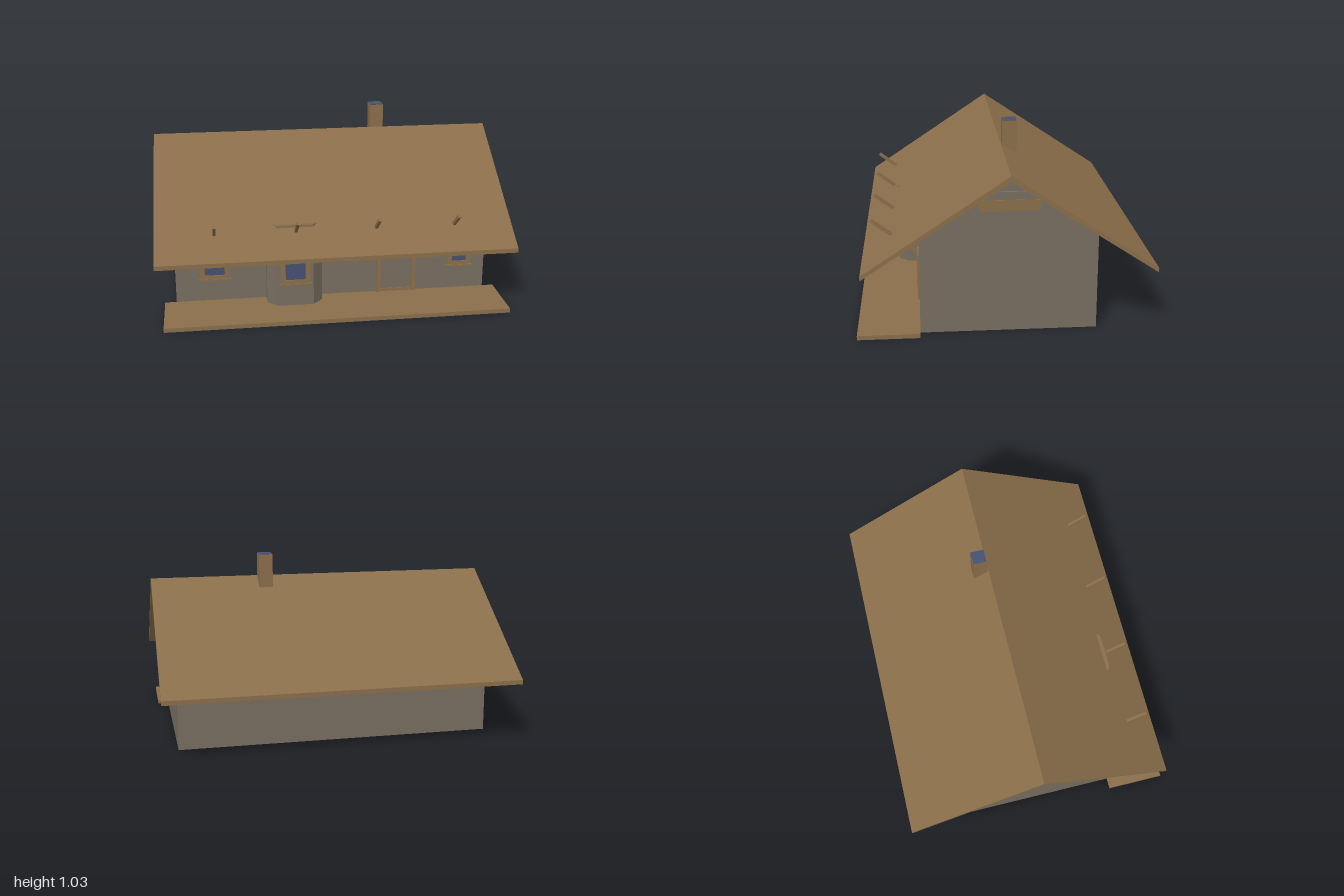
import * as THREE from 'three';

const mat = (name, color) => {
  const m = new THREE.MeshStandardMaterial({ color });
  m.name = name;
  return m;
};

export function createModel() {
  const wood = mat('brown wood', 0x8a6e4a);
  const plaster = mat('grey plaster', 0x776d60);
  const glass = mat('blue glass', 0x475070);
  const house = new THREE.Group();
  house.name = 'house';

  const add = (name, geometry, material, parent = house) => {
    const mesh = new THREE.Mesh(geometry, material);
    mesh.name = name;
    parent.add(mesh);
    return mesh;
  };
  // Box given by its limits on each axis
  const box = (name, [x0, x1], [y0, y1], [z0, z1], material, parent) => {
    const mesh = add(name, new THREE.BoxGeometry(x1 - x0, y1 - y0, z1 - z0), material, parent);
    mesh.position.set((x0 + x1) / 2, (y0 + y1) / 2, (z0 + z1) / 2);
    return mesh;
  };
  const outline = (points) => new THREE.Shape(points.map(([a, b]) => new THREE.Vector2(a, b)));
  // Side profile in (z, y), extruded along x
  const alongX = (shape, x0, x1) =>
    new THREE.ExtrudeGeometry(shape, { depth: x1 - x0, bevelEnabled: false, curveSegments: 6 })
      .rotateY(-Math.PI / 2).translate(x1, 0, 0);
  // Floor plan in (x, z), extruded upwards
  const upwards = (points, y0, y1) =>
    new THREE.ExtrudeGeometry(outline(points.map(([x, z]) => [x, -z])), { depth: y1 - y0, bevelEnabled: false })
      .rotateX(-Math.PI / 2).translate(0, y0, 0);

  // Walls with gables
  add('walls', alongX(outline([
    [-0.49, 0], [0.46, 0], [0.46, 0.55], [-0.015, 0.867], [-0.49, 0.55],
  ]), -0.9, 0.9), plaster);

  // Pitched roof
  add('roof', alongX(outline([
    [0.765, 0.35], [0.765, 0.375], [-0.015, 0.896], [-0.795, 0.375], [-0.795, 0.35], [-0.015, 0.866],
  ]), -1, 1), wood);

  // Porch deck on a thin grey base
  box('porchDeck', [-0.965, 0.965], [0.004, 0.024], [0.46, 0.795], wood);
  box('porchBase', [-0.965, 0.965], [0, 0.004], [0.46, 0.795], plaster);

  // Bay with cut corners; its cap breaks through the roof
  const bay = [[-0.385, 0.45], [-0.385, 0.53], [-0.33, 0.588], [-0.125, 0.588], [-0.07, 0.53], [-0.07, 0.45]];
  add('bayWalls', upwards(bay, 0.02, 0.488), plaster);
  add('bayCap', upwards(bay, 0.488, 0.508), wood);

  // Framed windows
  const addWindow = (name, x0, x1, y0, y1, z) => {
    const group = new THREE.Group();
    group.name = name;
    house.add(group);
    const t = 0.026;
    box('glass', [x0 + t, x1 - t], [y0 + t, y1 - t], [z - 0.002, z + 0.004], glass, group);
    for (const [a, b] of [[x0, x0 + t], [x1 - t, x1]]) {
      box('frameSide', [a, b], [y0, y1], [z - 0.002, z + 0.01], wood, group);
    }
    box('frameTop', [x0 + t, x1 - t], [y1 - t, y1], [z - 0.002, z + 0.01], wood, group);
    box('frameBottom', [x0 + t, x1 - t], [y0, y0 + t], [z - 0.002, z + 0.01], wood, group);
    box('sill', [x0 - 0.01, x1 + 0.01], [y0 - 0.004, y0 + 0.004], [z - 0.002, z + 0.013], wood, group);
  };
  addWindow('leftWindow', -0.76, -0.595, 0.153, 0.41, 0.46);
  addWindow('bayWindow', -0.31, -0.145, 0.155, 0.4, 0.588);
  addWindow('rightWindow', 0.68, 0.817, 0.167, 0.41, 0.46);

  // Door with posts, lintel and threshold
  box('doorPanel', [0.283, 0.465], [0.024, 0.4], [0.458, 0.464], plaster);
  for (const x of [0.259, 0.465]) box('doorPost', [x, x + 0.024], [0.024, 0.42], [0.458, 0.475], wood);
  box('doorLintel', [0.283, 0.465], [0.396, 0.42], [0.458, 0.475], wood);
  box('doorThreshold', [0.283, 0.465], [0.024, 0.042], [0.458, 0.468], wood);

  // Slanted beams passing through the front eave
  const low = new THREE.Vector2(0.46, 0.367), high = new THREE.Vector2(0.715, 0.563);
  for (const x of [-0.675, -0.225, 0.225, 0.67]) {
    const beam = add('beam', new THREE.BoxGeometry(0.016, 0.018, low.distanceTo(high)), wood);
    beam.position.set(x, (low.y + high.y) / 2, (low.x + high.x) / 2);
    beam.rotation.x = -Math.atan2(high.y - low.y, high.x - low.x);
  }

  // Chimney with a blue top
  box('chimney', [0.295, 0.375], [0.78, 1.03], [-0.105, -0.022], wood);
  box('chimneyTop', [0.297, 0.373], [1.03, 1.034], [-0.103, -0.024], glass);

  // Gable panel with rounded lower corners
  const panel = new THREE.Shape();
  panel.moveTo(-0.18, 0.742);
  panel.lineTo(-0.18, 0.71);
  panel.quadraticCurveTo(-0.18, 0.682, -0.152, 0.682);
  panel.lineTo(0.122, 0.682);
  panel.quadraticCurveTo(0.15, 0.682, 0.15, 0.71);
  panel.lineTo(0.15, 0.742);
  add('gablePanel', alongX(panel, 0.895, 0.918), wood);
  add('gablePanelTop', alongX(outline([
    [-0.18, 0.742], [0.15, 0.742], [0.15, 0.76], [0.105, 0.785], [-0.135, 0.785], [-0.18, 0.76],
  ]), 0.895, 0.914), plaster);

  return house;
}
